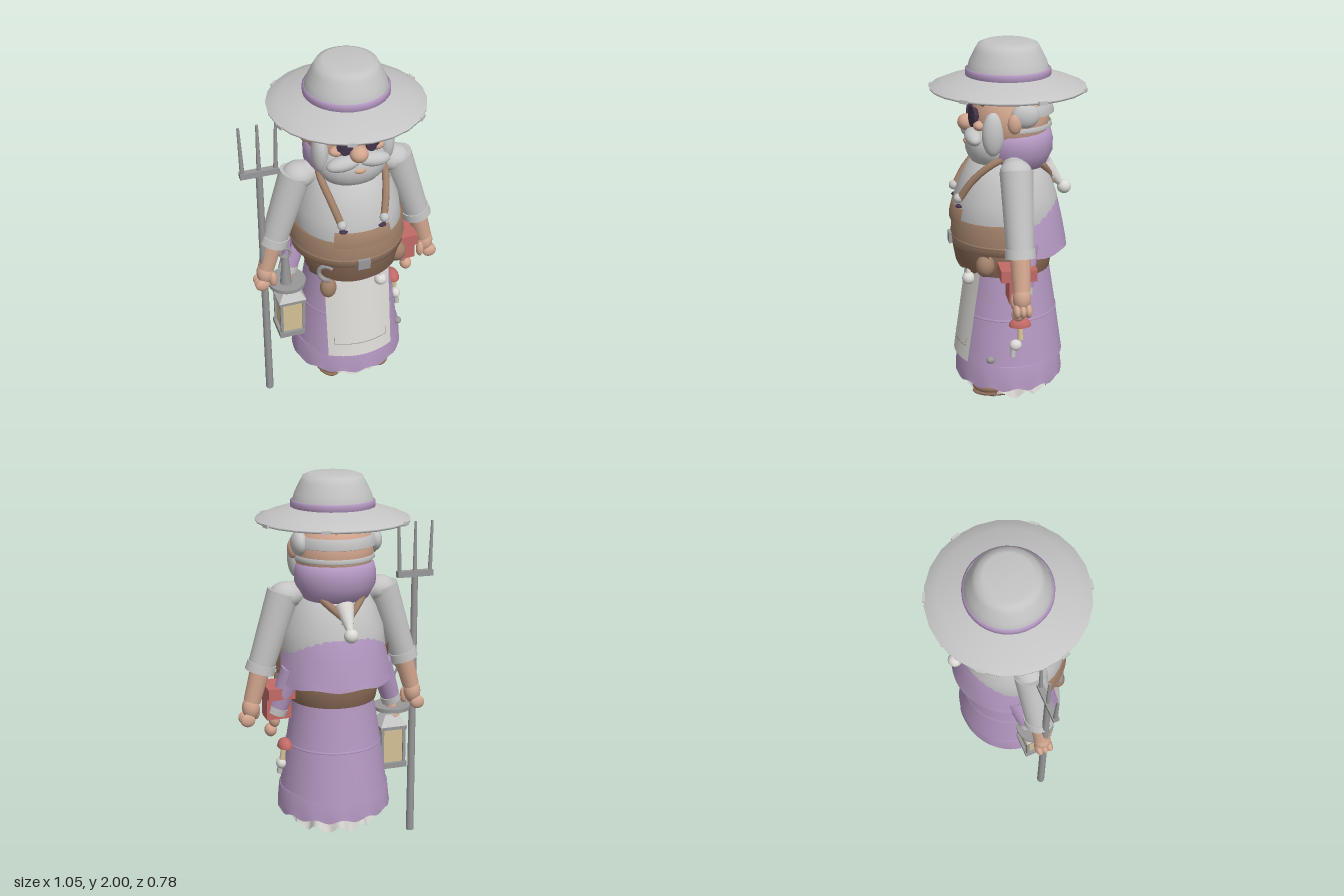
import * as THREE from 'three';

const mat = (name, color) => new THREE.MeshStandardMaterial({ name, color, side: THREE.DoubleSide });
const M = {
  cloth: mat('grey cloth', 0xc4c4c4), white: mat('off white', 0xdcdad5), purple: mat('purple cloth', 0xb397c0),
  leather: mat('leather', 0xa08069), skin: mat('skin', 0xd2a68f), metal: mat('metal', 0x98989a),
  red: mat('red', 0xc26a66), dark: mat('dark glass', 0x43344a), cream: mat('cream', 0xd3c096), belt: mat('dark leather', 0x8a6a56),
};
const V = (a) => new THREE.Vector3(...a);

export function createModel() {
  const root = new THREE.Group();
  const body = new THREE.Group(); // the figure stands slightly left of the centre line
  body.name = 'figure';
  body.position.x = 0.02;
  root.add(body);

  const add = (name, geo, m, pos = [0, 0, 0], parent = body) => {
    const mesh = new THREE.Mesh(geo, m);
    mesh.name = name;
    mesh.position.set(...pos);
    parent.add(mesh);
    return mesh;
  };
  const ball = (name, m, pos, r, parent = body) => {
    const mesh = add(name, new THREE.SphereGeometry(1, 20, 14), m, pos, parent);
    mesh.scale.set(...(Array.isArray(r) ? r : [r, r, r]));
    return mesh;
  };
  const box = (name, m, pos, s, parent = body) => add(name, new THREE.BoxGeometry(...s), m, pos, parent);
  const latheGeo = (pts, start = 0, len = Math.PI * 2, segs = 36) =>
    new THREE.LatheGeometry(pts.map((p) => new THREE.Vector2(...p)), segs, start, len);
  const lathe = (name, m, pts, start, len, segs) => add(name, latheGeo(pts, start, len, segs), m);
  // tapered rod between two points
  const rod = (name, m, a, b, ra, rb = ra, parent = body, sides = 14) => {
    const d = V(b).sub(V(a));
    const mesh = add(name, new THREE.CylinderGeometry(rb, ra, d.length(), sides), m, [0, 0, 0], parent);
    mesh.position.copy(V(a)).addScaledVector(d, 0.5);
    mesh.quaternion.setFromUnitVectors(new THREE.Vector3(0, 1, 0), d.normalize());
    return mesh;
  };
  const tube = (name, m, pts, r) =>
    add(name, new THREE.TubeGeometry(new THREE.CatmullRomCurve3(pts.map(V)), 20, r, 8), m);
  // ruffle the lowest ring of a cloth
  const ruffle = (mesh, limit, n, dy, dr) => {
    const p = mesh.geometry.attributes.position;
    for (let i = 0; i < p.count; i++) {
      if (p.getY(i) > limit) continue;
      const w = Math.sin(Math.atan2(p.getX(i), p.getZ(i)) * n);
      p.setXYZ(i, p.getX(i) * (1 + dr * w), p.getY(i) + dy * w, p.getZ(i) * (1 + dr * w));
    }
    mesh.geometry.computeVertexNormals();
  };

  // Skirt, hem and petticoat
  lathe('skirt', M.purple, [[0.284, 0.35], [0.248, 0.605], [0.21, 0.85], [0.205, 0.95]]);
  lathe('skirtSeam', M.purple, [[0.25, 0.598], [0.252, 0.604], [0.248, 0.61]]);
  const hem = lathe('skirtHem', M.purple, [[0.3, 0.238], [0.297, 0.28], [0.289, 0.362], [0.282, 0.364]], 0, Math.PI * 2, 80);
  ruffle(hem, 0.25, 13, 0.01, 0.008);
  hem.scale.z = 0.94;
  const petticoat = lathe('petticoat', M.white, [[0.222, 0.165], [0.205, 0.22], [0.18, 0.34]], 0, Math.PI * 2, 90);
  ruffle(petticoat, 0.23, 11, 0.022, 0.06);
  const inside = add('underskirt', new THREE.CircleGeometry(0.2, 30), M.white, [0, 0.3, 0]);
  inside.rotation.x = Math.PI / 2;

  // Shoes with soles
  for (const s of [-1, 1]) {
    ball('shoe', M.leather, [s * 0.135, 0.205, 0.09], [0.073, 0.05, 0.12]);
    ball('sole', M.belt, [s * 0.135, 0.17, 0.085], [0.07, 0.02, 0.125]);
    box('heel', M.belt, [s * 0.135, 0.16, 0.01], [0.07, 0.025, 0.05]);
    rod('leg', M.white, [s * 0.12, 0.2, 0.02], [s * 0.11, 0.32, 0.01], 0.055);
  }

  // Apron: a sheet curved around the front of the skirt
  const sheet = (x0, x1, y0, y1, out) => {
    const g = new THREE.PlaneGeometry(x1 - x0, y1 - y0, 14, 8).translate((x0 + x1) / 2, (y0 + y1) / 2, 0);
    const p = g.attributes.position;
    for (let i = 0; i < p.count; i++) {
      const x = p.getX(i), y = p.getY(i);
      p.setZ(i, 0.288 - (y - 0.36) * 0.14 - 1.6 * x * x + out);
    }
    g.computeVertexNormals();
    return g;
  };
  add('apron', sheet(-0.175, 0.175, 0.36, 0.88, 0), M.white);
  add('apronStitch', sheet(-0.145, 0.145, 0.437, 0.441, 0.003), M.metal);
  for (const x of [-0.145, 0.142]) add('apronSideStitch', sheet(x, x + 0.003, 0.44, 0.48, 0.003), M.metal);

  // Torso and belts
  const torso = lathe('shirt', M.cloth, [[0.22, 0.9], [0.262, 1.0], [0.275, 1.12], [0.262, 1.22], [0.225, 1.32], [0.18, 1.4], [0.1, 1.46], [0, 1.47]]);
  torso.position.z = 0.015;
  lathe('lowerBelt', M.belt, [[0.205, 0.83], [0.226, 0.835], [0.25, 0.97], [0.2, 0.975]]).position.z = 0.012;
  lathe('frontBelt', M.belt, [[0.24, 0.85], [0.268, 0.87], [0.288, 0.98]], -1.1, 2.2).position.z = 0.005;
  lathe('wideBelt', M.leather, [[0.26, 0.965], [0.293, 0.97], [0.296, 1.02], [0.292, 1.12], [0.27, 1.13]], -1.7, 3.4);
  lathe('beltRidge', M.leather, [[0.295, 1.005], [0.3, 1.012], [0.295, 1.02]], -1.7, 3.4);
  lathe('chestFlap', M.leather, [[0.303, 1.1], [0.302, 1.13], [0.29, 1.18], [0.275, 1.18]], -0.52, 1.04, 16);
  box('buckle', M.metal, [-0.005, 0.993, 0.298], [0.065, 0.055, 0.025]);
  for (const s of [-1, 1]) ball('flapButton', M.dark, [s * 0.1, 1.19, 0.262], [0.022, 0.009, 0.02]);

  // Short cape over the back
  const cape = lathe('backCape', M.purple, [[0.302, 0.95], [0.294, 0.99], [0.275, 1.09], [0.25, 1.2], [0.235, 1.21]], Math.PI - 1.6, 3.2, 50);
  ruffle(cape, 0.96, 8, 0.006, 0.006);

  // Braces crossing at the back
  for (const s of [-1, 1]) {
    tube('brace', M.leather, [[s * 0.11, 1.23, 0.262], [s * 0.14, 1.33, 0.2], [s * 0.165, 1.42, 0.1], [s * 0.15, 1.45, 0],
      [s * 0.11, 1.4, -0.14], [-s * 0.02, 1.27, -0.235]], 0.019);
    ball('braceStud', M.cloth, [s * 0.11, 1.235, 0.268], 0.024);
  }

  // Arms, mirrored
  for (const s of [-1, 1]) {
    const arm = new THREE.Group();
    arm.name = s > 0 ? 'leftArm' : 'rightArm';
    body.add(arm);
    ball('shoulder', M.cloth, [s * 0.25, 1.395, 0], [0.085, 0.068, 0.08], arm);
    rod('sleeve', M.cloth, [s * 0.385, 1.03, 0], [s * 0.262, 1.41, 0], 0.068, 0.083, arm, 20);
    rod('shoulderSlope', M.cloth, [s * 0.26, 1.385, 0], [s * 0.13, 1.42, 0], 0.073, 0.05, arm);
    rod('cuff', M.cloth, [s * 0.392, 1.005, 0], [s * 0.379, 1.05, 0], 0.077, 0.075, arm, 20);
    rod('forearm', M.skin, [s * 0.435, 0.85, 0], [s * 0.388, 1.02, 0], 0.044, 0.052, arm);
    ball('palm', M.skin, [s * 0.443, 0.815, 0], [0.045, 0.062, 0.045], arm);
    for (const z of [-0.028, 0, 0.028]) ball('finger', M.skin, [s * 0.465, 0.757, z], [0.038, 0.035, 0.02], arm);
    ball('thumb', M.skin, [s * 0.408, 0.785, 0.03], [0.021, 0.045, 0.023], arm);
    // Lower pair of hanging sleeves and hands
    rod('lowerSleeve', M.purple, [s * 0.305, 0.82, -0.03], [s * 0.235, 1.02, -0.06], 0.05, 0.06, arm);
    rod('lowerCuff', M.cloth, [s * 0.315, 0.785, -0.025], [s * 0.303, 0.82, -0.03], 0.052, 0.052, arm);
    ball('lowerHand', M.skin, [s * 0.322, 0.745, -0.01], [0.03, 0.045, 0.035], arm);
    ball('lowerFingers', M.skin, [s * 0.34, 0.685, 0], [0.032, 0.036, 0.035], arm);
  }

  // Head and face
  ball('head', M.skin, [0, 1.62, -0.01], [0.205, 0.2, 0.195]);
  ball('beard', M.cloth, [0, 1.49, 0.09], [0.18, 0.135, 0.13]);
  ball('nose', M.skin, [-0.005, 1.595, 0.21], [0.046, 0.042, 0.045]);
  ball('lowerLip', M.skin, [0, 1.5, 0.212], [0.03, 0.015, 0.015]);
  ball('collarButton', M.leather, [0, 1.37, 0.17], [0.03, 0.022, 0.03]);
  for (const s of [-1, 1]) {
    ball('moustache', M.cloth, [s * 0.075, 1.54, 0.185], [0.088, 0.038, 0.045]).rotation.z = -s * 0.12;
    ball('sideburn', M.cloth, [s * 0.168, 1.57, 0.1], [0.042, 0.11, 0.055]);
    ball('ear', M.skin, [s * 0.212, 1.63, 0], [0.026, 0.05, 0.035]);
    ball('hairTuft', M.cloth, [s * 0.195, 1.665, -0.055], [0.04, 0.062, 0.07]);
    ball('eyebrow', M.belt, [s * 0.115, 1.725, 0.145], [0.034, 0.02, 0.02]).rotation.z = -s * 0.3;
    const lens = add('spectacleLens', new THREE.CylinderGeometry(1, 1, 0.009, 20).rotateX(Math.PI / 2), M.dark, [s * 0.07, 1.64, 0.19]);
    lens.scale.set(0.04, 0.052, 1);
    lens.rotation.y = s * 0.3;
    ball('eye', M.dark, [s * 0.07, 1.64, 0.175], [0.036, 0.045, 0.02]);
    ball('cheek', M.skin, [s * 0.1, 1.6, 0.16], [0.04, 0.025, 0.03]);
  }
  // Hair fringe round the back and the hood with its tassel
  lathe('hairFringe', M.cloth, [[0.2, 1.575], [0.208, 1.58], [0.204, 1.6], [0.2, 1.6]], Math.PI - 1.5, 3).position.z = -0.012;
  lathe('upperHair', M.cloth, [[0.2, 1.645], [0.212, 1.65], [0.2, 1.7], [0.19, 1.7]], Math.PI - 1.5, 3).position.z = -0.018;
  const hood = lathe('hood', M.purple, [[0, 1.32], [0.09, 1.335], [0.155, 1.38], [0.188, 1.45], [0.19, 1.51], [0.18, 1.553], [0.16, 1.56]], 0.85, Math.PI * 2 - 1.7);
  hood.position.z = -0.035;
  hood.scale.x = 1.1;
  rod('hoodTip', M.white, [0, 1.36, -0.18], [0, 1.245, -0.28], 0.05, 0.014);
  ball('tassel', M.white, [0, 1.235, -0.29], 0.036);

  // Wide hat
  lathe('hatBrim', M.cloth, [[0.19, 1.8], [0.34, 1.772], [0.388, 1.764], [0.39, 1.775], [0.33, 1.8], [0.25, 1.825], [0.19, 1.84]], 0, Math.PI * 2, 24);
  lathe('hatCrown', M.cloth, [[0.206, 1.8], [0.206, 1.85], [0.192, 1.9], [0.165, 1.955], [0.148, 1.985], [0.115, 1.998], [0, 2.0]]);
  lathe('hatBand', M.purple, [[0.2, 1.828], [0.213, 1.832], [0.213, 1.862], [0.203, 1.868]]);
  for (const a of [0.85, -0.25, 2.75, -2.3, -1.25, 1.85]) {
    const patch = box('brimPatch', M.cloth, [0.388 * Math.sin(a), 1.77, 0.388 * Math.cos(a)], [0.045, 0.018, 0.014]);
    patch.rotation.y = a;
  }

  // Things hung from the belt
  const shoe = add('horseshoe', new THREE.TorusGeometry(0.044, 0.012, 8, 20, 4.2), M.metal, [-0.175, 0.915, 0.225]);
  shoe.rotation.set(0, -0.6, 0.9);
  ball('smallPouch', M.leather, [-0.165, 0.81, 0.21], [0.043, 0.06, 0.04]);
  ball('roundPouch', M.leather, [0.225, 0.91, 0.15], [0.05, 0.058, 0.048]);
  ball('bulb', M.white, [0.115, 0.805, 0.222], 0.033);
  rod('bulbStalk', M.white, [0.115, 0.83, 0.222], [0.115, 0.88, 0.222], 0.014, 0.006);
  box('redPouch', M.red, [0.305, 0.84, 0.0], [0.13, 0.17, 0.1]);
  box('redPouchFlap', M.red, [0.3, 0.9, 0], [0.14, 0.06, 0.18]);

  // Mushroom and charms on the left of the skirt
  rod('mushroomStem', M.cream, [0.285, 0.52, -0.02], [0.275, 0.61, -0.02], 0.016, 0.012);
  const cap = add('mushroomCap', new THREE.SphereGeometry(0.052, 18, 8, 0, Math.PI * 2, 0, Math.PI / 2), M.red, [0.27, 0.59, -0.02]);
  cap.scale.set(0.75, 0.9, 1.1);
  ball('charm', M.white, [0.285, 0.49, 0.005], [0.026, 0.03, 0.032]);
  rod('charmTail', M.cloth, [0.29, 0.43, 0.02], [0.285, 0.49, 0.015], 0.014);
  ball('hemPebble', M.metal, [0.255, 0.4, 0.13], [0.02, 0.018, 0.022]);

  // Pitchfork
  const fork = new THREE.Group();
  fork.name = 'pitchfork';
  fork.position.set(-0.43, 0, 0.01);
  root.add(fork);
  rod('pole', M.metal, [0, 0, 0], [0, 1.45, 0], 0.021, 0.017, fork, 10);
  box('crossbar', M.metal, [0, 1.453, 0], [0.195, 0.032, 0.032], fork);
  for (const x of [-1, 0, 1]) rod('tine', M.metal, [x * 0.084, 1.46, 0], [x * 0.092, 1.725, 0], 0.012, 0.007, fork, 8);

  // Lantern
  const lantern = new THREE.Group();
  lantern.name = 'lantern';
  lantern.position.set(-0.3, 0, 0.01);
  root.add(lantern);
  box('lanternBase', M.metal, [0, 0.425, 0], [0.15, 0.03, 0.15], lantern);
  box('lanternRim', M.metal, [0, 0.635, 0], [0.145, 0.018, 0.145], lantern);
  box('lanternGlass', M.cream, [0, 0.535, 0], [0.118, 0.19, 0.118], lantern);
  for (const x of [-1, 1]) for (const z of [-1, 1]) box('lanternPost', M.metal, [x * 0.061, 0.535, z * 0.061], [0.015, 0.2, 0.015], lantern);
  const roof = add('lanternRoof', new THREE.CylinderGeometry(0.045, 0.105, 0.06, 4, 1, false, Math.PI / 4), M.cloth, [0, 0.674, 0], lantern);
  roof.geometry = roof.geometry.toNonIndexed();
  roof.geometry.computeVertexNormals();
  add('lanternNeck', new THREE.CylinderGeometry(0.04, 0.045, 0.03, 16), M.cloth, [0, 0.717, 0], lantern);
  add('lanternDisc', new THREE.CylinderGeometry(0.1, 0.1, 0.02, 24), M.metal, [-0.01, 0.738, 0], lantern);
  rod('lanternHanger', M.metal, [-0.02, 0.74, 0.02], [-0.02, 0.92, 0.02], 0.032, 0.016, lantern);
  add('lanternRing', new THREE.TorusGeometry(0.028, 0.007, 8, 18), M.metal, [-0.02, 0.94, 0.02], lantern);
  return root;
}
